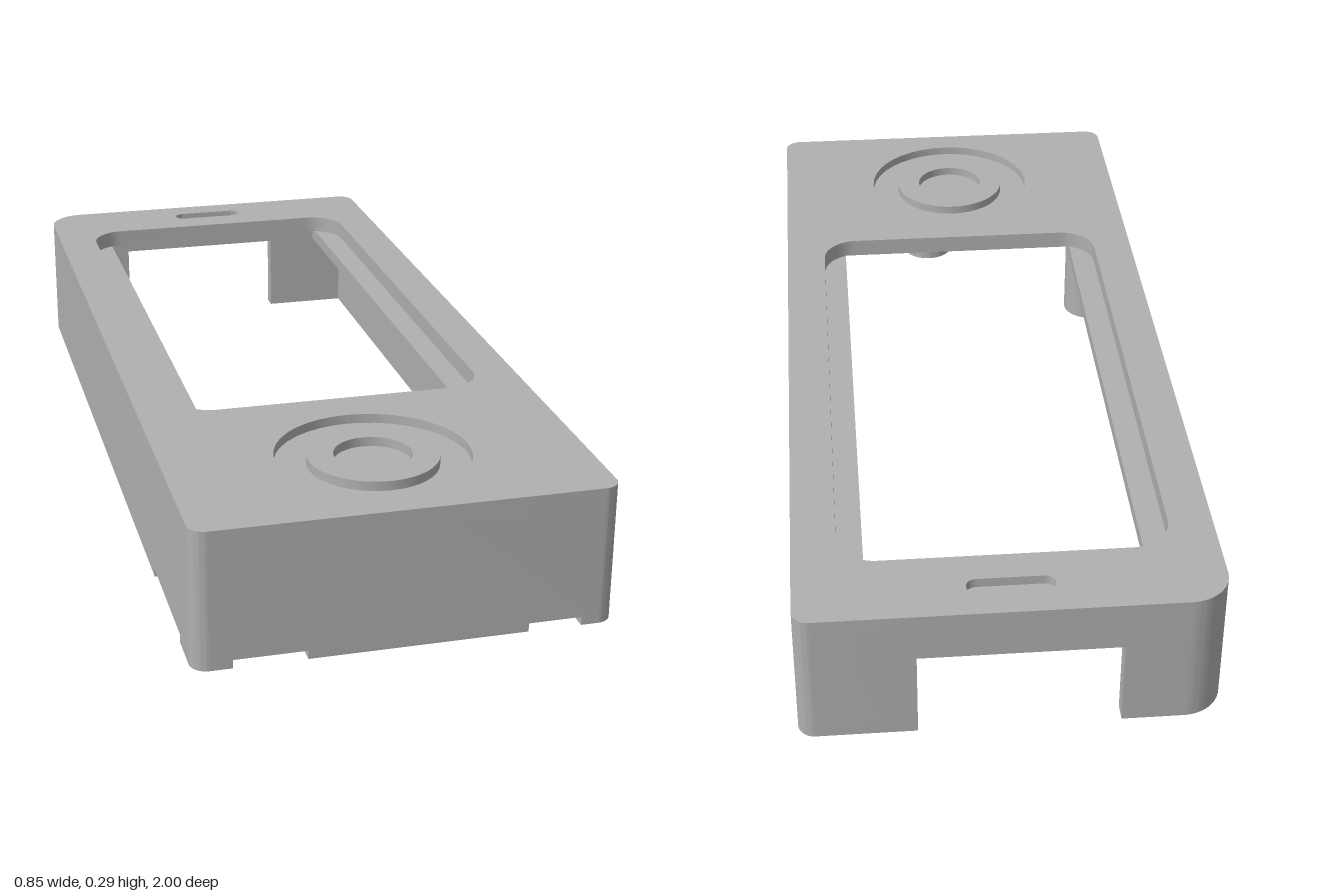
import * as THREE from 'three';
import { toCreasedNormals } from 'three/addons/utils/BufferGeometryUtils.js';

const W = 0.427, L = 1, T = 0.037;            // half width, half length, wall thickness
const R = 0.035, R_BIG = 0.085;               // corner radii
const TOP = 0.295, CEIL = 0.256, RECESS = 0.275;

export function createModel() {
  const group = new THREE.Group();
  group.name = 'enclosureShell';
  const grey = new THREE.MeshStandardMaterial({ color: 0xb0b0b0 });
  grey.name = 'shellGrey';

  const add = (name, geometry, x = 0, y = 0, z = 0) => {
    const mesh = new THREE.Mesh(geometry, grey);
    mesh.name = name;
    mesh.position.set(x, y, z);
    group.add(mesh);
    return mesh;
  };
  const box = (name, x0, x1, y0, y1, z0, z1) =>
    add(name, new THREE.BoxGeometry(x1 - x0, y1 - y0, z1 - z0), (x0 + x1) / 2, (y0 + y1) / 2, (z0 + z1) / 2);

  // Plan shape (x, z) extruded between two heights
  const slab = (name, shape, y0, y1) => {
    const g = new THREE.ExtrudeGeometry(shape, { depth: y1 - y0, bevelEnabled: false, curveSegments: 20 });
    g.rotateX(Math.PI / 2);
    g.translate(0, y1, 0);
    return add(name, toCreasedNormals(g, 0.6));
  };

  // Polygon of [x, z, cornerRadius] points with rounded corners
  const rounded = (pts, path = new THREE.Shape()) => {
    pts.forEach(([x, z, r = 0], i) => {
      const p = new THREE.Vector2(x, z);
      const toward = (q, d) => new THREE.Vector2(q[0], q[1]).sub(p).setLength(d).add(p);
      const prev = pts[(i + pts.length - 1) % pts.length], next = pts[(i + 1) % pts.length];
      const a = r > 0 ? toward(prev, r) : p;
      if (i === 0) path.moveTo(a.x, a.y); else path.lineTo(a.x, a.y);
      if (r > 0) {
        const b = toward(next, r), k = 0.448 * r;
        const c1 = toward(prev, k), c2 = toward(next, k);
        path.bezierCurveTo(c1.x, c1.y, c2.x, c2.y, b.x, b.y);
      }
    });
    path.closePath();
    return path;
  };
  const clamp = THREE.MathUtils.clamp;

  // Wall following outer points; the inner side is the same run moved in by T
  const wall = (name, outer, y0, y1) => {
    const inner = outer.map(([x, z, r = 0]) =>
      [clamp(x, T - W, W - T), clamp(z, T - L, L - T), Math.max(r - T, 0)]).reverse();
    return slab(name, rounded([...outer, ...inner]), y0, y1);
  };

  const backRight = [W, -L, R], frontRight = [W, L, R], frontLeft = [-W, L, R], backLeft = [-W, -L, R_BIG];
  const portRight = [0.19, -L], portLeft = [-0.217, -L];

  // Walls, open at the back port
  const lip = 0.018;
  wall('sideWalls', [portRight, backRight, frontRight, frontLeft, backLeft, portLeft], lip, CEIL);
  box('portLintel', portLeft[0], portRight[0], 0.19, CEIL, -L, -L + T);

  // Bottom rim, broken by shallow notches
  wall('rimRight', [portRight, backRight, frontRight, [0.357, L]], 0, lip);
  wall('rimFront', [[0.247, L], [-0.2, L]], 0, lip);
  wall('rimFrontCorner', [[-0.348, L], frontLeft, [-W, 0.88]], 0, lip);
  wall('rimLeft', [[-W, 0.6], backLeft, portLeft], 0, lip);

  // Top plate in two layers: the upper one carries the shallow recesses
  const dial = { z: 0.735, outer: 0.2, ring: 0.135, inner: 0.08 };
  const plate = () => {
    const s = rounded([backRight, frontRight, frontLeft, backLeft]);
    const x = 0.336, r = 0.08;
    s.holes.push(rounded([[-x, -0.825, r], [-x, 0.443, r], [x, 0.443, r], [x, -0.825, r]], new THREE.Path()));
    return s;
  };
  slab('topPlateLower', plate(), CEIL, RECESS);
  const upper = plate();
  upper.holes.push(new THREE.Path().absarc(0, dial.z, dial.outer, 0, Math.PI * 2));
  const sx = 0.067, sz = -0.918, sr = 0.021;
  const slot = new THREE.Path();
  slot.absarc(sx, sz, sr, -Math.PI / 2, Math.PI / 2);
  slot.absarc(-sx, sz, sr, Math.PI / 2, Math.PI * 1.5);
  slot.closePath();
  upper.holes.push(slot);
  slab('topPlateUpper', upper, RECESS, TOP);

  // Raised ring inside the round recess
  const ring = new THREE.Shape().absarc(0, dial.z, dial.ring, 0, Math.PI * 2);
  ring.holes.push(new THREE.Path().absarc(0, dial.z, dial.inner, 0, Math.PI * 2));
  slab('dialRing', ring, RECESS, TOP);

  // Support rails under the window and a cross rib at its front end
  for (const s of [-1, 1]) {
    const a = s * 0.283, b = s * 0.395;
    box(s > 0 ? 'railLeft' : 'railRight', Math.min(a, b), Math.max(a, b), 0.227, CEIL, -0.85, 0.5);
  }
  box('crossRib', -0.283, 0.283, 0.235, CEIL, 0.475, 0.51);

  // Hollow screw posts merging into the walls
  const profile = [[0, 0.06], [0.044, 0.06], [0.044, 0], [0.064, 0], [0.064, 0.19], [0, 0.19]]
    .map(([r, y]) => new THREE.Vector2(r, y));
  const postGeometry = toCreasedNormals(new THREE.LatheGeometry(profile, 40).toNonIndexed(), 0.6);
  [[0.05, 0.91], [-0.357, 0.565], [0.355, 0.485]].forEach(([x, z], i) =>
    add('screwPost' + (i + 1), postGeometry, x, 0, z));

  return group;
}
